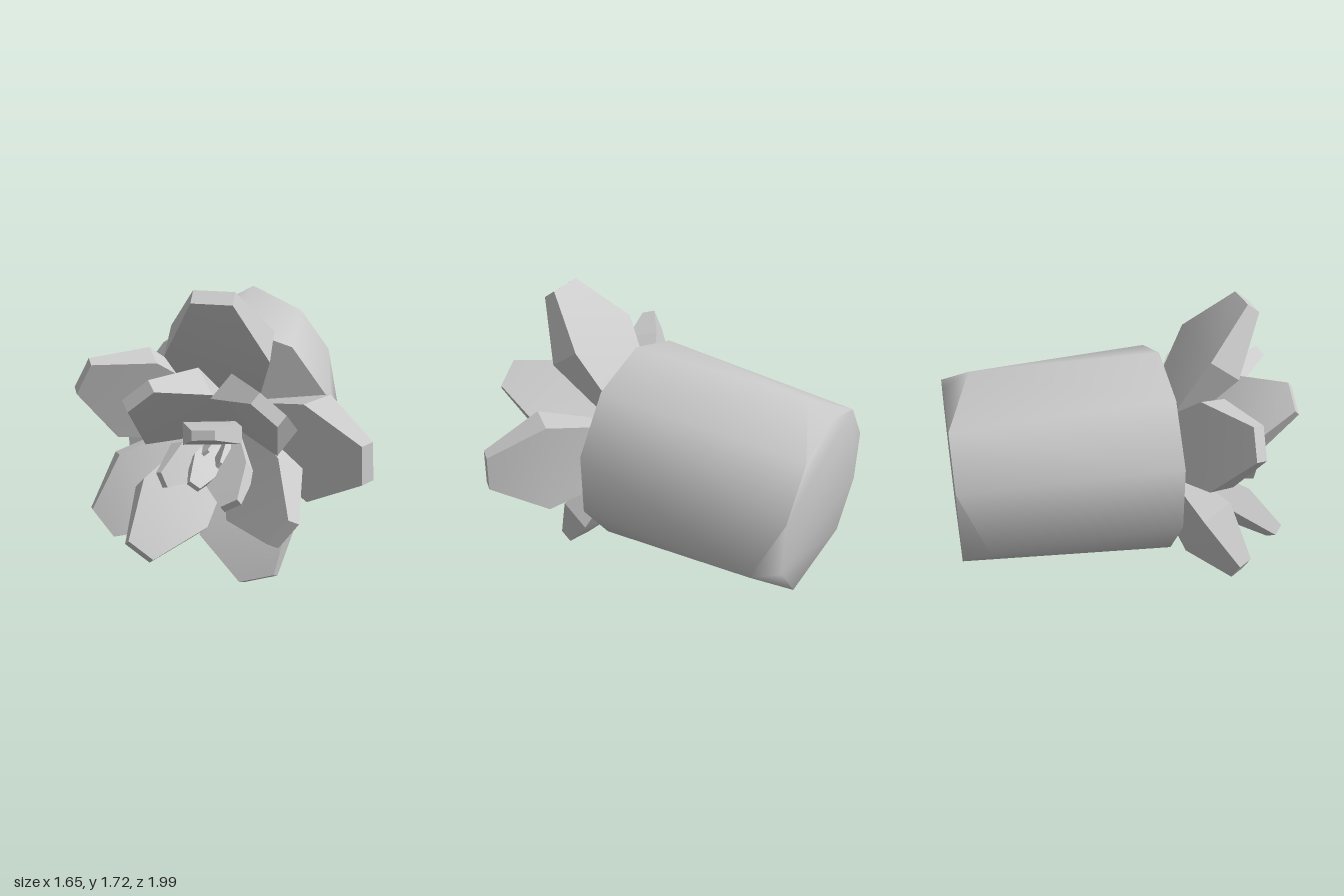
import * as THREE from 'three';
import { toCreasedNormals } from 'three/addons/utils/BufferGeometryUtils.js';
import { ConvexGeometry } from 'three/addons/geometries/ConvexGeometry.js';

const material = new THREE.MeshStandardMaterial({ color: 0xcccccc });
const CX = -0.025, CY = 0.805;

// Faceted petal: four-cornered cross-sections at root, widest part and tip.
function petalGeometry(root, tip, width) {
  const axis = tip.clone().sub(root);
  const dir = axis.clone().normalize();
  const front = new THREE.Vector3(0, 0, 1).addScaledVector(dir, -dir.z).normalize();
  const side = dir.clone().cross(front);
  // [position along petal, half width, half thickness]
  const sections = [[0, 0.27, 0.04], [0.63, 0.5, 0.19], [1, 0.19, 0.08]];
  const corners = [[1, 1], [-1, 1], [-1, -1], [1, -1]];
  const rings = sections.map(([t, w, d]) => corners.map(([s, f]) => root.clone()
    .addScaledVector(axis, t)
    .addScaledVector(side, s * w * width)
    .addScaledVector(front, f * d * width)));
  const points = [];
  const quad = (a, b, c, d) => points.push(a, b, c, a, c, d);
  for (let i = 0; i < rings.length - 1; i++) {
    for (let j = 0; j < 4; j++) {
      const k = (j + 1) % 4;
      quad(rings[i][j], rings[i + 1][j], rings[i + 1][k], rings[i][k]);
    }
  }
  quad(...rings[0]);
  quad(...rings[2].slice().reverse());
  const geometry = new THREE.BufferGeometry().setFromPoints(points);
  return toCreasedNormals(geometry, 0.5);
}

// Petals of one layer: each entry is tip x, y, z and width.
function petalLayer(name, rootRadius, rootZ, entries) {
  const layer = new THREE.Group();
  layer.name = name;
  for (const [x, y, z, width] of entries) {
    const angle = Math.atan2(y - CY, x - CX);
    const root = new THREE.Vector3(
      CX + rootRadius * Math.cos(angle), CY + rootRadius * Math.sin(angle), rootZ);
    const petal = new THREE.Mesh(
      petalGeometry(root, new THREE.Vector3(x, y, z), width), material);
    petal.name = 'petal';
    layer.add(petal);
  }
  return layer;
}

// Ten-sided pot lying on its side; corners at the closed end are cut unevenly.
function createPot() {
  const ring = (radius, z, angles) => angles.map((degrees) => {
    const a = THREE.MathUtils.degToRad(degrees);
    return new THREE.Vector3(CX + radius * Math.cos(a), CY + radius * Math.sin(a), z);
  });
  const all = Array.from({ length: 10 }, (_, i) => 18 + 36 * i);
  const hull = new ConvexGeometry([
    ...ring(0.625, 0.24, all),
    ...ring(0.625, -0.85, [90, 198, 270, 342]),
    ...ring(0.536, -1, all.filter((degrees) => degrees !== 270)),
  ]);
  const pot = new THREE.Mesh(toCreasedNormals(hull, 1.2), material);
  pot.name = 'pot';
  return pot;
}

export function createModel() {
  const model = new THREE.Group();
  model.name = 'pottedRosette';
  model.add(createPot());
  model.add(petalLayer('outerPetals', 0.1, 0.19, [
    [-0.01, 1.69, 0.76, 0.56],
    [0.79, 0.85, 0.76, 0.56],
    [0.21, 0.045, 0.61, 0.54],
    [-0.7, 0.32, 0.58, 0.53],
    [-0.76, 1.2, 0.6, 0.5],
  ]));
  model.add(petalLayer('middlePetals', 0.06, 0.24, [
    [-0.36, 1.22, 0.95, 0.47],
    [0.3, 1.19, 0.97, 0.46],
    [0.38, 0.51, 0.95, 0.47],
    [-0.4, 0.32, 0.9, 0.44],
  ]));
  model.add(petalLayer('innerPetals', 0.02, 0.3, [
    [-0.04, 1.01, 0.9, 0.32],
    [0.09, 0.6, 0.84, 0.27],
    [-0.29, 0.7, 0.79, 0.24],
    [-0.12, 0.67, 0.78, 0.18],
    [-0.06, 0.85, 0.74, 0.11],
    [0.01, 0.78, 0.73, 0.1],
  ]));
  return model;
}
